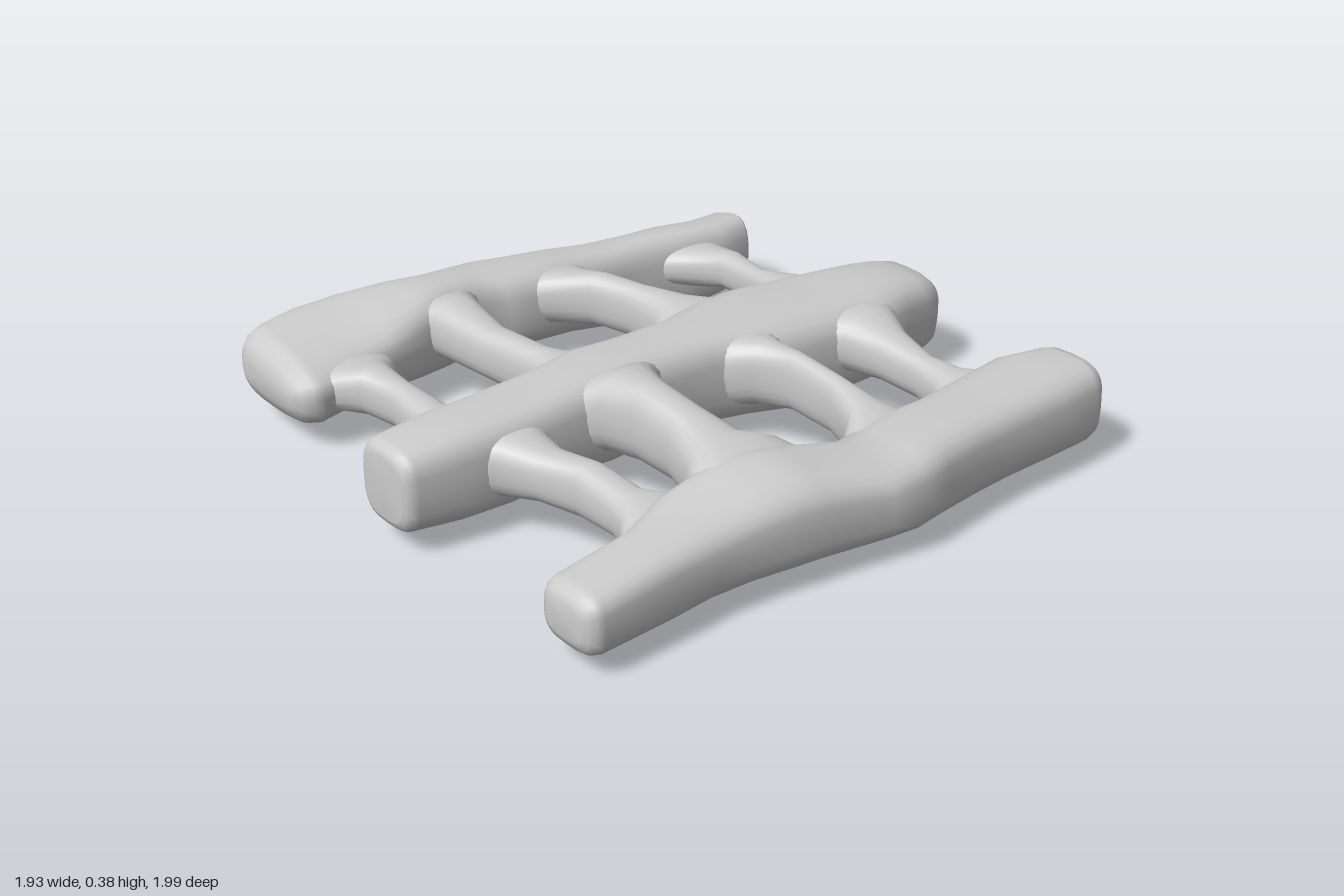
import * as THREE from 'three';

const SIDES = 24;
const material = new THREE.MeshStandardMaterial({ color: 0xcccccc });

// Add rounded-off stations beyond one end of a beam.
function cap([t, lo, hi, y0, y1, tilt = 0], dir, r) {
  return [0.45, 0.8, 1].map((k) => {
    const inset = r * (1 - Math.sqrt(1 - k * k * 0.98));
    return [t + dir * r * k, lo + inset, hi - inset, y0 + inset, y1 - inset, tilt * (1 - k / 2)];
  });
}

// Loft a soft-cornered beam along 'x' or 'z'.
// Station: [position, low side, high side, bottom, top, tilt of the top]
function beam(name, axis, stations, r0 = 0.03, r1 = 0.03, power = 3.2) {
  const all = [
    ...cap(stations[0], -1, r0).reverse(),
    ...stations,
    ...cap(stations[stations.length - 1], 1, r1),
  ];
  const pos = [], index = [];
  const put = (s, u, y) => (axis === 'z' ? pos.push(u, y, s) : pos.push(s, y, u));
  const soft = (v) => Math.sign(v) * Math.abs(v) ** (2 / power);
  for (const [t, lo, hi, y0, y1, tilt = 0] of all) {
    for (let j = 0; j < SIDES; j++) {
      const a = (j / SIDES) * Math.PI * 2;
      const c = soft(Math.cos(a)), s = soft(Math.sin(a));
      const y = (y0 + y1) / 2 + (s * (y1 - y0)) / 2 + tilt * c * Math.max(0, s);
      put(t, (lo + hi) / 2 + (c * (hi - lo)) / 2, y);
    }
  }
  const tri = (a, b, c) => (axis === 'z' ? index.push(a, b, c) : index.push(a, c, b));
  const n = all.length;
  for (let i = 0; i < n - 1; i++) {
    for (let j = 0; j < SIDES; j++) {
      const a = i * SIDES + j, b = i * SIDES + ((j + 1) % SIDES);
      tri(a, b, b + SIDES);
      tri(a, b + SIDES, a + SIDES);
    }
  }
  // Close both ends with fans
  for (const i of [0, n - 1]) {
    const [t, lo, hi, y0, y1] = all[i];
    const centre = pos.length / 3;
    put(t, (lo + hi) / 2, (y0 + y1) / 2);
    for (let j = 0; j < SIDES; j++) {
      const a = i * SIDES + j, b = i * SIDES + ((j + 1) % SIDES);
      if (i === 0) tri(centre, b, a);
      else tri(centre, a, b);
    }
  }
  const geometry = new THREE.BufferGeometry();
  geometry.setAttribute('position', new THREE.Float32BufferAttribute(pos, 3));
  geometry.setIndex(index);
  geometry.computeVertexNormals();
  const mesh = new THREE.Mesh(geometry, material);
  mesh.name = name;
  return mesh;
}

export function createModel() {
  const group = new THREE.Group();
  group.name = 'lattice';

  // Long rails, back to front
  group.add(
    beam('rightRail', 'z', [
      [-0.83, -0.84, -0.6, 0.04, 0.28, 0.04],
      [-0.72, -0.85, -0.58, 0.03, 0.28, 0.04],
      [-0.58, -0.85, -0.6, 0.01, 0.29, 0.03],
      [-0.45, -0.84, -0.63, 0, 0.29, 0.02],
      [-0.3, -0.84, -0.64, 0.02, 0.29],
      [-0.15, -0.85, -0.62, 0.05, 0.31],
      [0, -0.87, -0.61, 0.06, 0.32],
      [0.1, -0.9, -0.64, 0.06, 0.32],
      [0.2, -0.88, -0.67, 0.06, 0.33],
      [0.3, -0.87, -0.64, 0.06, 0.34],
      [0.42, -0.91, -0.61, 0.06, 0.34],
      [0.55, -0.95, -0.6, 0.06, 0.31, -0.03],
      [0.7, -0.97, -0.57, 0.06, 0.29, -0.04],
      [0.82, -0.95, -0.54, 0.06, 0.28, -0.04],
    ], 0.02, 0.08, 2.9),
    beam('middleRail', 'z', [
      [-0.88, -0.11, 0.19, 0.05, 0.32],
      [-0.78, -0.11, 0.21, 0.05, 0.34],
      [-0.65, -0.15, 0.24, 0.05, 0.34],
      [-0.5, -0.18, 0.22, 0.03, 0.34],
      [-0.35, -0.19, 0.22, 0.03, 0.35],
      [-0.2, -0.17, 0.19, 0.05, 0.35],
      [-0.05, -0.12, 0.15, 0.06, 0.35],
      [0.15, -0.12, 0.15, 0.06, 0.35],
      [0.3, -0.12, 0.17, 0.06, 0.36],
      [0.45, -0.11, 0.15, 0.06, 0.34],
      [0.65, -0.11, 0.17, 0.05, 0.33],
      [0.8, -0.1, 0.16, 0.05, 0.33],
      [0.95, -0.1, 0.14, 0.06, 0.31],
    ], 0.12, 0.04, 3.2),
    beam('leftRail', 'z', [
      [-0.83, 0.65, 0.91, 0.05, 0.31],
      [-0.7, 0.61, 0.92, 0.05, 0.31],
      [-0.5, 0.63, 0.92, 0.05, 0.3],
      [-0.35, 0.65, 0.93, 0.05, 0.3],
      [-0.2, 0.65, 0.95, 0.05, 0.3],
      [-0.1, 0.66, 0.965, 0.05, 0.29],
      [0, 0.68, 0.95, 0.05, 0.28, -0.02],
      [0.2, 0.66, 0.92, 0.05, 0.32, -0.03],
      [0.3, 0.64, 0.91, 0.05, 0.33, -0.03],
      [0.42, 0.62, 0.89, 0.05, 0.31, -0.03],
      [0.55, 0.62, 0.88, 0.05, 0.28, -0.02],
      [0.7, 0.67, 0.89, 0.05, 0.26],
      [0.92, 0.68, 0.9, 0.05, 0.23],
    ], 0.07, 0.05, 3.2),
  );

  // Right-hand cross bars: flared where they meet the rails
  const rightBars = [
    [[-0.68, -0.75, -0.45, 0.12, 0.25], [-0.57, -0.71, -0.53, 0.13, 0.26], [-0.46, -0.69, -0.59, 0.15, 0.27],
      [-0.28, -0.635, -0.57, 0.16, 0.28], [-0.2, -0.65, -0.53, 0.14, 0.3], [-0.1, -0.74, -0.42, 0.1, 0.31]],
    [[-0.72, -0.25, 0.1, 0.12, 0.29], [-0.6, -0.19, 0, 0.14, 0.31], [-0.5, -0.2, -0.09, 0.15, 0.32],
      [-0.35, -0.23, -0.13, 0.15, 0.32], [-0.22, -0.3, -0.13, 0.1, 0.32], [-0.1, -0.42, -0.02, 0.06, 0.33]],
    [[-0.72, 0.16, 0.46, 0.12, 0.31], [-0.61, 0.23, 0.41, 0.14, 0.33], [-0.4, 0.27, 0.39, 0.15, 0.31],
      [-0.2, 0.25, 0.36, 0.14, 0.31], [-0.13, 0.22, 0.38, 0.12, 0.32], [-0.05, 0.12, 0.45, 0.1, 0.33]],
    [[-0.7, 0.5, 0.85, 0.1, 0.24], [-0.58, 0.56, 0.82, 0.1, 0.24], [-0.5, 0.61, 0.74, 0.1, 0.25],
      [-0.38, 0.62, 0.71, 0.1, 0.24], [-0.2, 0.61, 0.735, 0.1, 0.24], [-0.12, 0.58, 0.745, 0.09, 0.27],
      [-0.04, 0.5, 0.78, 0.1, 0.28]],
  ];
  // Left-hand cross bars
  const leftBars = [
    [[0.1, -0.82, -0.4, 0.1, 0.32], [0.23, -0.71, -0.48, 0.13, 0.32], [0.35, -0.64, -0.5, 0.15, 0.3],
      [0.5, -0.6, -0.51, 0.15, 0.28], [0.6, -0.62, -0.49, 0.13, 0.28], [0.7, -0.74, -0.4, 0.1, 0.28]],
    [[0.1, -0.36, -0.02, 0.1, 0.33], [0.21, -0.27, -0.14, 0.13, 0.33], [0.32, -0.255, -0.18, 0.15, 0.33],
      [0.5, -0.25, -0.17, 0.15, 0.32], [0.62, -0.27, -0.13, 0.13, 0.3], [0.72, -0.34, 0, 0.1, 0.28]],
    [[0.08, 0.06, 0.46, 0.1, 0.34], [0.18, 0.17, 0.39, 0.13, 0.38], [0.3, 0.22, 0.37, 0.15, 0.385],
      [0.45, 0.22, 0.37, 0.15, 0.37], [0.57, 0.18, 0.4, 0.13, 0.34], [0.65, 0.12, 0.46, 0.11, 0.35],
      [0.75, 0.04, 0.52, 0.1, 0.3]],
    [[0.08, 0.48, 0.84, 0.1, 0.3], [0.17, 0.54, 0.74, 0.11, 0.29], [0.26, 0.55, 0.68, 0.12, 0.27],
      [0.4, 0.53, 0.64, 0.12, 0.28], [0.55, 0.51, 0.635, 0.12, 0.26], [0.62, 0.47, 0.66, 0.11, 0.27],
      [0.72, 0.42, 0.74, 0.1, 0.25]],
  ];
  rightBars.forEach((s, i) => group.add(beam(`rightCrossBar${i + 1}`, 'x', s, 0.02, 0.02, 2.5)));
  leftBars.forEach((s, i) => group.add(beam(`leftCrossBar${i + 1}`, 'x', s, 0.02, 0.02, 2.5)));

  return group;
}
